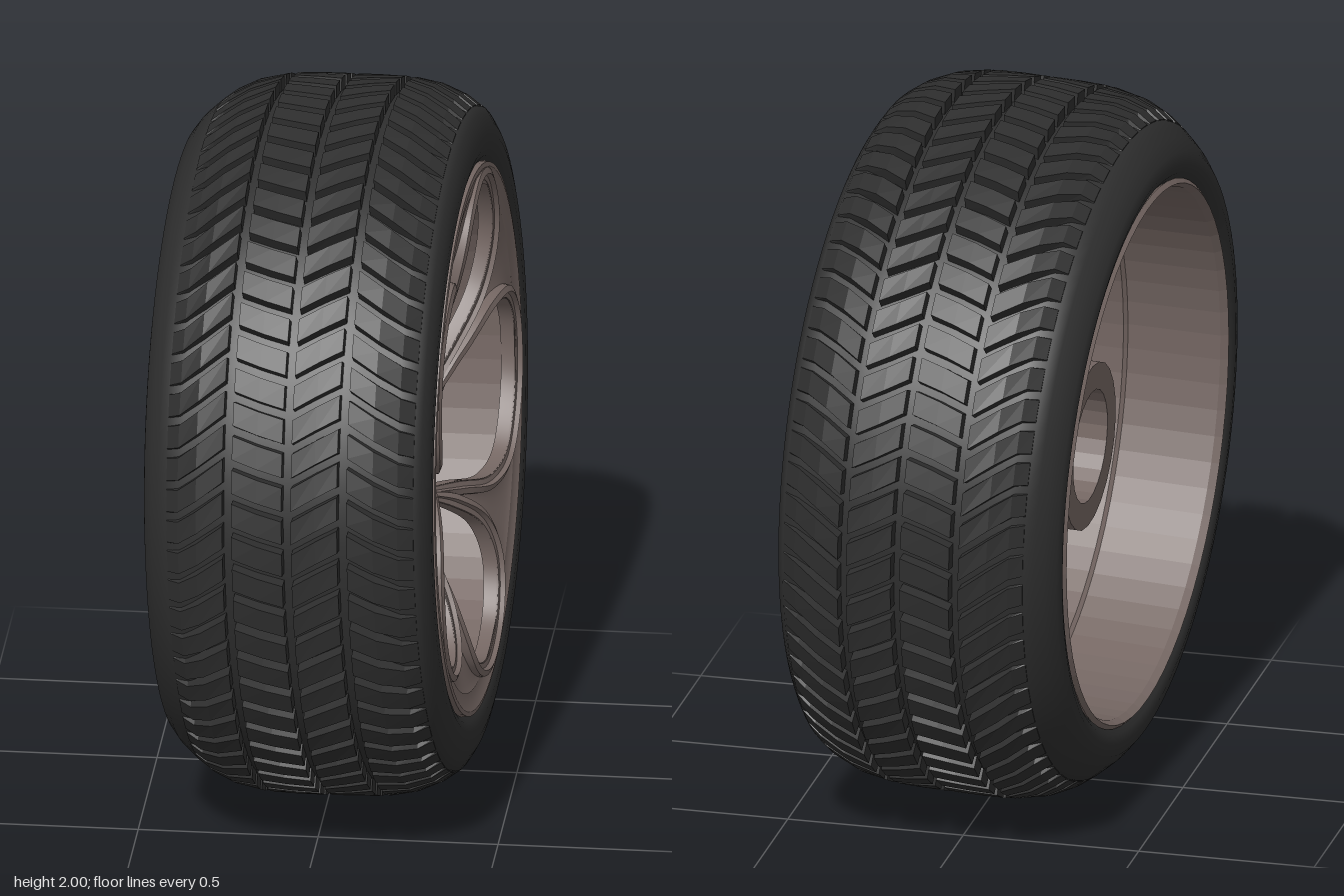
import * as THREE from 'three';
import { mergeGeometries, toCreasedNormals } from 'three/addons/utils/BufferGeometryUtils.js';

const V3 = (x, y, z) => new THREE.Vector3(x, y, z);
const SECTOR = Math.PI * 2 / 5;
const mat = (color, flatShading = false) =>
  new THREE.MeshStandardMaterial({ color, flatShading, side: THREE.DoubleSide });

// Surface through rows of points (all rows equally long)
function grid(rows) {
  const n = rows[0].length, index = [];
  for (let i = 0; i < rows.length - 1; i++)
    for (let j = 0; j < n - 1; j++) {
      const a = i * n + j, b = a + n;
      index.push(a, b, a + 1, b, b + 1, a + 1);
    }
  const g = new THREE.BufferGeometry().setFromPoints(rows.flat());
  g.setIndex(index);
  g.computeVertexNormals();
  return g;
}

// Turned part around the local z axle, from [radius, z] pairs
const turned = (pts, seg = 72) =>
  new THREE.LatheGeometry(pts.map(p => new THREE.Vector2(p[0], p[1])), seg).rotateX(Math.PI / 2);

// Cylinder along the axle between z0 and z1
const disc = (r0, r1, z0, z1, seg) =>
  new THREE.CylinderGeometry(r1, r0, z1 - z0, seg).rotateX(Math.PI / 2).translate(0, 0, (z0 + z1) / 2);

// Tread crown and groove depth, measured across from the tread centre line
const CENTER = 0.016;
const crown = a => 0.998 - 5.2 * a ** 4;
const depth = a => 0.036 * Math.min(1, Math.max(0, (0.345 - Math.abs(a)) / 0.08));

function tireBody() {
  const outer = [[0.765, 0.375], [0.785, 0.391], [0.81, 0.399], [0.845, 0.399], [0.88, 0.39], [0.9, 0.379]];
  const inner = [[0.765, -0.387], [0.785, -0.403], [0.81, -0.41], [0.845, -0.404], [0.88, -0.378], [0.9, -0.357]];
  const pts = [...inner];
  for (let i = -7; i <= 7; i++) pts.push([crown(i * 0.05) - depth(i * 0.05), i * 0.05 + CENTER]);
  return turned([...pts, ...outer.reverse()], 96);
}

// Four columns of slanted blocks: [axial position, shift along the circumference]
function tread() {
  const columns = [
    [[-0.345, 0], [-0.31, 0.005], [-0.255, 0.045], [-0.179, 0.105]],
    [[-0.153, 0.075], [-0.083, 0.05], [-0.012, 0.03]],
    [[0.014, 0.03], [0.08, 0.07], [0.143, 0.105]],
    [[0.169, 0.09], [0.24, 0.045], [0.305, 0.01], [0.345, 0]],
  ];
  const count = 66, half = Math.PI / count * 0.77, parts = [];
  for (let k = 0; k < count; k++)
    for (const col of columns) {
      const rows = col.map(([a, shift]) => {
        const top = crown(a), low = top - depth(a) - 0.006;
        const mid = k * Math.PI * 2 / count - shift;
        return [[low, -1], [top, -0.9], [top, 0.9], [low, 1]].map(([r, s]) =>
          V3(r * Math.cos(mid + s * half), r * Math.sin(mid + s * half), a + CENTER));
      });
      // end walls closing each block
      const wall = row => row.map(p => V3(p.x * 0.96, p.y * 0.96, p.z));
      parts.push(grid([wall(rows[0]), ...rows, wall(rows.at(-1))]));
    }
  return mergeGeometries(parts);
}

// Edge of one petal opening, from finger tip over the lobe to the next finger tip
const petal = new THREE.CatmullRomCurve3([
  [0.08, 0.19], [0.02, 0.34], [-0.015, 0.5], [0.035, 0.63], [0.165, 0.685],
  [0.325, 0.63], [0.43, 0.465], [0.405, 0.31], [0.305, 0.165], [0.2, -0.005],
].map(([x, y]) => V3(x, y, 0)));
const dish = r => 0.385 - 0.69 * Math.max(0, 0.72 - r) ** 2;

// Dished finger between two petals
function web() {
  const rows = [];
  for (let i = 0; i <= 20; i++) {
    const s = i / 20 * 4 / 9, L = petal.getPoint(s), R = petal.getPoint(1 - s);
    const la = Math.atan2(L.y, L.x) - SECTOR, ra = Math.atan2(R.y, R.x);
    const lr = Math.hypot(L.x, L.y), rr = Math.hypot(R.x, R.y), row = [];
    for (let j = 0; j <= 12; j++) {
      const u = j / 12, r = lr + (rr - lr) * u, t = la + (ra - la) * u;
      const sag = 0.03 * Math.sin(Math.PI * u) * Math.sin(Math.PI * i / 20);
      row.push(V3(r * Math.cos(t), r * Math.sin(t), dish(r) - sag));
    }
    rows.push(row);
  }
  return grid(rows);
}

// Raised lip and inner wall around one petal opening
function petalLip() {
  const profile = [[0.042, -0.014], [0.037, 0.012], [0.02, 0.018], [0.016, 0.004], [0.002, 0.002], [0, -0.006], [0, -0.04]];
  const rows = [];
  for (let i = 0; i <= 72; i++) {
    const t = i / 72, p = petal.getPoint(t), d = petal.getTangent(t);
    const w = Math.min(1, 0.35 + 6 * Math.min(t, 1 - t));
    const z = dish(Math.hypot(p.x, p.y));
    rows.push(profile.map(([o, h]) => V3(p.x - d.y * o * w, p.y + d.x * o * w, z + h)));
  }
  return toCreasedNormals(grid(rows), 0.6);
}

// Tapered rear arm: [radius, angle offset in degrees, half width]
function arm() {
  const stations = [[0.1, 0, 0.1], [0.2, 0, 0.17], [0.27, -1, 0.18], [0.32, -3, 0.14], [0.38, -5, 0.1],
    [0.46, -5, 0.075], [0.55, -4, 0.055], [0.64, -2, 0.036], [0.72, 0, 0.018]];
  return toCreasedNormals(grid(stations.map(([r, deg, w]) => {
    const t = THREE.MathUtils.degToRad(62.5 + deg), c = Math.cos(t), s = Math.sin(t);
    const lift = 0.06 * Math.max(0, r - 0.25), back = 0.03 + lift;
    return [[-1, back], [-1, 0.12], [-0.3, 0.168], [0.3, 0.168], [1, 0.12], [1, back], [-1, back]]
      .map(([u, z]) => V3(r * c - u * w * s, r * s + u * w * c, z + lift));
  })), 0.5);
}

export function createModel() {
  const model = new THREE.Group();
  const wheel = new THREE.Group();
  wheel.name = 'wheel';
  model.add(wheel);
  const rubber = mat(0x2e2e2e), block = mat(0x2e2e2e, true);
  const alloy = mat(0x756763), alloyFlat = mat(0x756763, true), steel = mat(0x858f90);
  const add = (name, geometry, material, angle = 0) => {
    const m = new THREE.Mesh(geometry, material);
    m.name = name;
    m.rotation.z = angle;
    wheel.add(m);
  };

  add('tire', tireBody(), rubber);
  add('treadBlocks', tread(), block);

  // Rim edge and barrel
  add('rimLip', toCreasedNormals(turned([[0.772, 0.36], [0.768, 0.396], [0.755, 0.398], [0.735, 0.388], [0.705, 0.385]]), 0.6), alloy);
  add('barrel', turned([[0.77, -0.395], [0.757, -0.406], [0.745, -0.385], [0.738, -0.12], [0.728, -0.11],
    [0.725, 0.1], [0.716, 0.115], [0.72, 0.38]], 64), alloyFlat);

  // Hub with hollow rear tube
  add('hub', turned([[0, 0.03], [0.24, 0.03], [0.235, 0.135], [0.19, 0.165], [0.13, 0.176], [0, 0.176]], 48), alloy);
  add('hubTube', turned([[0.16, 0.03], [0.16, -0.24], [0.237, -0.24], [0.237, 0.05]], 24), alloyFlat);
  add('centerCapRing', disc(0.064, 0.06, 0.17, 0.19, 32), alloyFlat);
  add('centerCap', new THREE.SphereGeometry(0.052, 32, 16).scale(1, 1, 0.5).translate(0, 0, 0.192), steel);

  // Five-fold parts
  const webGeo = web(), lipGeo = petalLip(), armGeo = arm();
  const boss = disc(0.052, 0.047, 0.155, 0.19, 6);
  const collar = new THREE.TorusGeometry(0.036, 0.008, 8, 24).translate(0, 0, 0.192);
  const bolt = disc(0.025, 0.022, 0.165, 0.207, 6);
  for (const g of [boss, collar, bolt]) g.translate(0.16, 0, 0);
  for (let k = 0; k < 5; k++) {
    const a = k * SECTOR, lug = a + THREE.MathUtils.degToRad(32.5);
    add('web', webGeo, alloy, a);
    add('petalLip', lipGeo, alloy, a);
    add('rearArm', armGeo, alloy, a);
    add('lugBoss', boss, alloyFlat, lug);
    add('lugCollar', collar, alloy, lug);
    add('lugBolt', bolt, steel, lug);
  }

  // Axle points to +x with a slight camber and steer
  wheel.position.set(0, 1, 0);
  wheel.lookAt(1, 1.028, 0.0525);
  return model;
}
